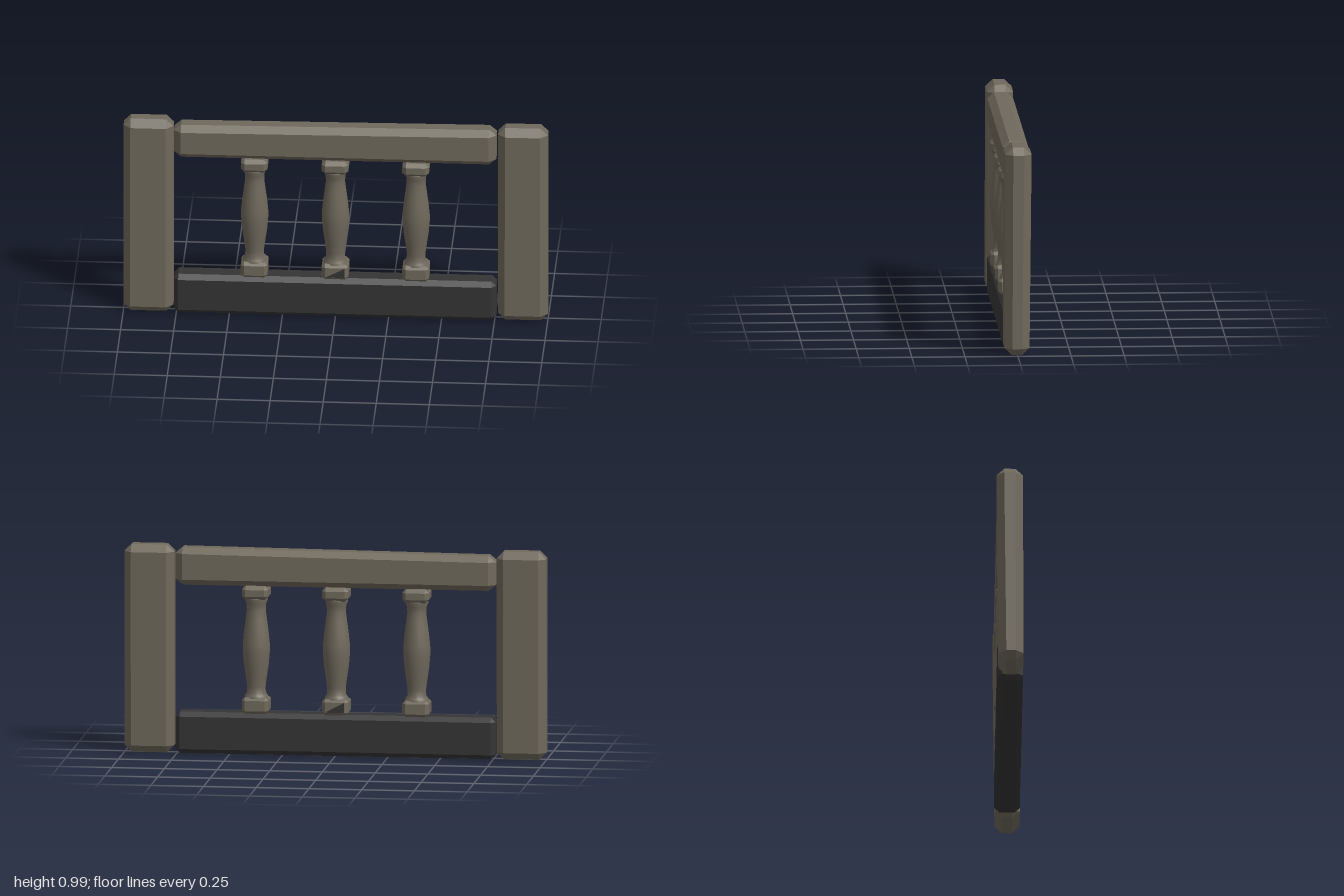
import * as THREE from 'three';
import { ConvexGeometry } from 'three/addons/geometries/ConvexGeometry.js';

const stone = new THREE.MeshStandardMaterial({ color: 0x6f685b });
stone.name = 'weathered stone';
const dark = new THREE.MeshStandardMaterial({ color: 0x343434 });
dark.name = 'dark stone';

// Box with chamfered edges; [cx, cy, cz] are the chamfer depths, warp bends the corners slightly
function chamferBox(name, material, [x0, x1], [y0, y1], [z0, z1], [cx, cy, cz], warp = () => {}) {
  const points = [];
  for (const [x, sx] of [[x0, 1], [x1, -1]])
    for (const [y, sy] of [[y0, 1], [y1, -1]])
      for (const [z, sz] of [[z0, 1], [z1, -1]]) {
        points.push(
          new THREE.Vector3(x, y + sy * cy, z + sz * cz),
          new THREE.Vector3(x + sx * cx, y, z + sz * cz),
          new THREE.Vector3(x + sx * cx, y + sy * cy, z));
      }
  points.forEach(warp);
  const mesh = new THREE.Mesh(new ConvexGeometry(points), material);
  mesh.name = name;
  return mesh;
}

// Turned shaft profile: radius, height
const shaftProfile = [
  [0.056, 0.272], [0.054, 0.284], [0.045, 0.296], [0.044, 0.325], [0.05, 0.37], [0.059, 0.43],
  [0.064, 0.49], [0.064, 0.53], [0.058, 0.59], [0.05, 0.65], [0.045, 0.69], [0.047, 0.72],
  [0.056, 0.742], [0.05, 0.75],
].map(([r, y]) => new THREE.Vector2(r, y));

function baluster(x) {
  const group = new THREE.Group();
  group.name = 'baluster';
  const w = 0.063;
  const shaft = new THREE.Mesh(new THREE.LatheGeometry(shaftProfile, 20), stone);
  shaft.name = 'shaft';
  group.add(
    chamferBox('base', stone, [-w, w], [0.2, 0.277], [-w, w], [0.016, 0.014, 0.016]),
    shaft,
    chamferBox('cap', stone, [-w, w], [0.742, 0.808], [-w, w], [0.018, 0.017, 0.018]));
  group.position.x = x;
  return group;
}

// Dark chipped patch on the front and back of the middle base
function basePatch(side) {
  const shape = new THREE.Shape();
  shape.moveTo(-0.045, 0.215);
  shape.lineTo(0.045, 0.215);
  shape.lineTo(0.045, 0.262);
  shape.closePath();
  const patch = new THREE.Mesh(
    new THREE.ExtrudeGeometry(shape, { depth: 0.004, bevelEnabled: false }), dark);
  patch.name = 'basePatch';
  patch.rotation.y = side > 0 ? 0 : Math.PI;
  patch.position.z = side * 0.06;
  return patch;
}

export function createModel() {
  const model = new THREE.Group();
  model.name = 'balustrade';

  // End posts, with a slight lean at the foot
  for (const side of [-1, 1]) {
    const xs = side < 0 ? [-1, -0.765] : [0.765, 1];
    model.add(chamferBox(side < 0 ? 'rightPost' : 'leftPost', stone, xs, [0.004, 0.995],
      [-0.062, 0.062], [0.034, 0.034, 0.036], p => {
        if (p.y < 0.5 && p.z < 0) p.z += 0.006;
        if (p.y > 0.5) p.z -= side * p.x * 0.004;
      }));
  }

  // Handrail, rising slightly to one end, and the dark plinth rail
  model.add(
    chamferBox('topRail', stone, [-0.762, 0.757], [0.806, 0.978], [-0.062, 0.06], [0.034, 0.028, 0.032],
      p => { if (p.y > 0.9) p.y += p.x * 0.009; }),
    chamferBox('bottomRail', dark, [-0.762, 0.757], [0.005, 0.203], [-0.06, 0.061], [0.022, 0.022, 0.024]));

  for (const x of [-0.383, -0.002, 0.378]) model.add(baluster(x));
  model.add(basePatch(1), basePatch(-1));
  return model;
}
